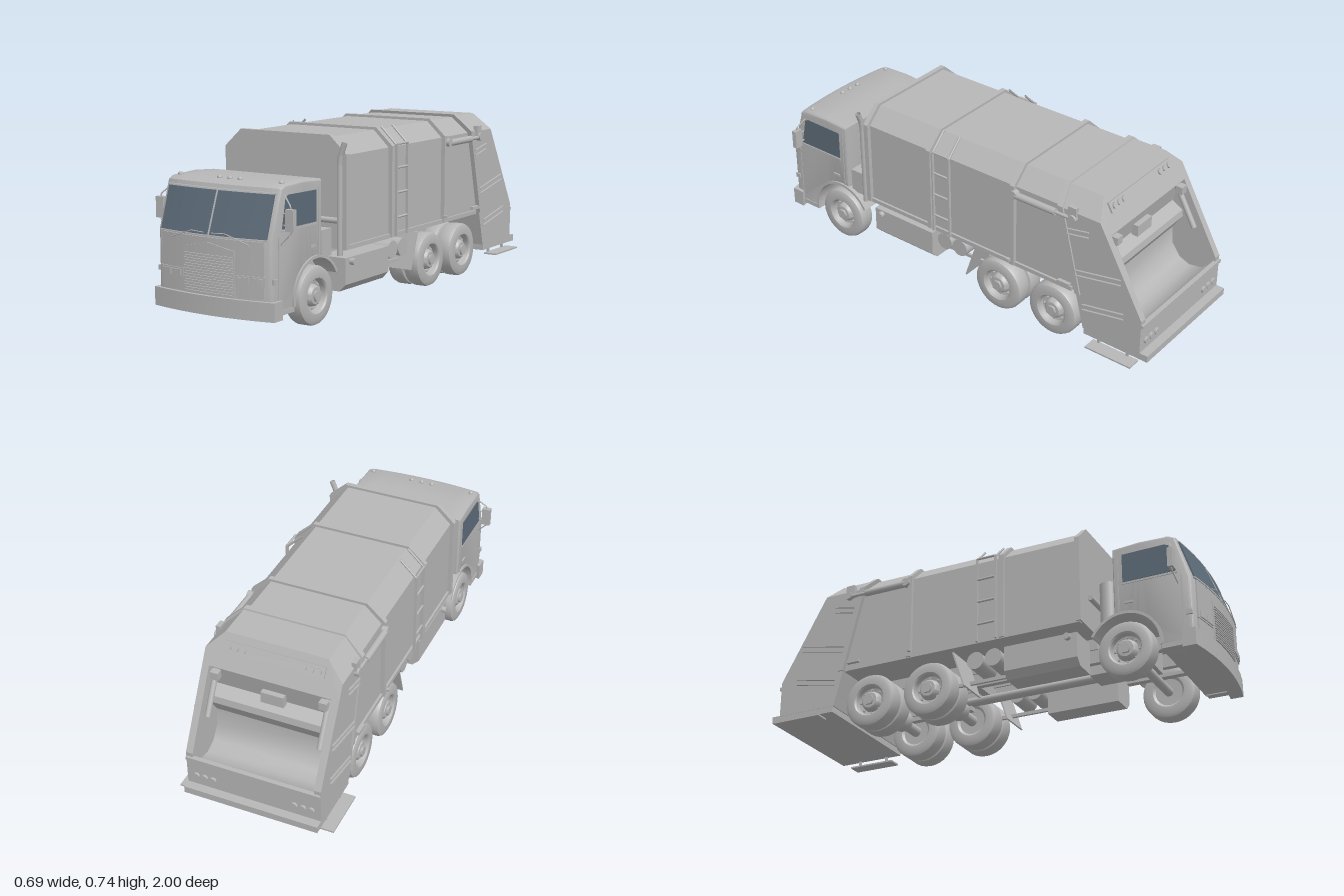
import * as THREE from 'three';
import { toCreasedNormals } from 'three/addons/utils/BufferGeometryUtils.js';
import { ConvexGeometry } from 'three/addons/geometries/ConvexGeometry.js';

const paint = new THREE.MeshStandardMaterial({ color: 0xb6b6b6, side: THREE.DoubleSide });
paint.name = 'grey paint';
const glass = new THREE.MeshStandardMaterial({ color: 0x5c6b78, side: THREE.DoubleSide });
glass.name = 'tinted glass';

export function createModel() {
  const truck = new THREE.Group();
  truck.name = 'garbageTruck';

  function add(name, geo, x = 0, y = 0, z = 0, mat = paint, parent = truck) {
    const m = new THREE.Mesh(geo, mat);
    m.name = name;
    m.position.set(x, y, z);
    parent.add(m);
    return m;
  }
  const box = (name, x, y, z, w, h, d, mat, parent) => add(name, new THREE.BoxGeometry(w, h, d), x, y, z, mat, parent);
  // Cylinder along a chosen axis
  function rod(name, axis, x, y, z, r, len, parent, sides = 20) {
    const g = new THREE.CylinderGeometry(r, r, len, sides);
    if (axis === 'x') g.rotateZ(Math.PI / 2);
    if (axis === 'z') g.rotateX(Math.PI / 2);
    return add(name, g, x, y, z, paint, parent);
  }
  const tube = (name, pts, r) => {
    const path = new THREE.CurvePath();
    const v = pts.map(p => new THREE.Vector3(...p));
    for (let i = 1; i < v.length; i++) path.add(new THREE.LineCurve3(v[i - 1], v[i]));
    return add(name, new THREE.TubeGeometry(path, 24, r, 8, false));
  };
  const both = fn => [1, -1].forEach(fn);
  const outline = pts => new THREE.Shape(pts.map(p => new THREE.Vector2(...p)));
  // Side outline in (z, y), extruded across the truck
  function across(shape, cx, width, bevel = 0, steps = 1) {
    const g = new THREE.ExtrudeGeometry(shape, {
      depth: width - 2 * bevel, steps, curveSegments: 20, bevelEnabled: bevel > 0,
      bevelSize: bevel, bevelThickness: bevel, bevelOffset: -bevel, bevelSegments: 3
    });
    g.translate(0, 0, -(width - 2 * bevel) / 2);
    g.rotateY(-Math.PI / 2);
    return g.translate(cx, 0, 0);
  }
  function reshape(g, rule) {
    const p = g.attributes.position, v = new THREE.Vector3();
    for (let i = 0; i < p.count; i++) {
      rule(v.fromBufferAttribute(p, i));
      p.setXYZ(i, v.x, v.y, v.z);
    }
    g.computeVertexNormals();
    return g;
  }
  // The cab front bows back towards its corners
  const bow = v => { v.z -= 0.03 * (v.x / 0.275) ** 2 * THREE.MathUtils.clamp((v.z - 0.8) / 0.18, 0, 1); };
  const frontZ = y => (y < 0.385 ? 0.985 : 0.985 - (y - 0.385) * 0.37);
  function frontBox(name, x, y, w, h, d, lift, mat, peak = 0) {
    const g = new THREE.BoxGeometry(w, h, d, 8, 1, 1).translate(x, y, 0);
    return add(name, reshape(g, v => {
      v.z += frontZ(v.y) + lift;
      if (peak && v.y > y) v.y += peak * (1 - Math.abs(v.x) / (w / 2));
      bow(v);
    }), 0, 0, 0, mat);
  }

  // Cab shell with wheel arch
  const cab = outline([[0.62, 0.3], [0.62, 0.583], [0.74, 0.592], [0.88, 0.588], [0.912, 0.575],
    [0.985, 0.385], [0.985, 0.095], [0.815, 0.095]]);
  cab.absarc(0.665, 0.125, 0.152, 0, 1.85, false);
  add('cab', toCreasedNormals(reshape(across(cab, 0, 0.552, 0.014, 8), bow), 0.5));

  // Windscreen, front panel, grille, lamps, bumper
  both(s => frontBox('windscreen', s * 0.129, 0.47, 0.252, 0.165, 0.008, 0.002, glass));
  frontBox('windscreenDivider', 0, 0.47, 0.006, 0.17, 0.012, 0.003);
  [0.383, 0.557].forEach(y => frontBox('windscreenSeal', 0, y, 0.52, 0.006, 0.012, 0.002));
  frontBox('frontPanel', 0, 0.268, 0.49, 0.22, 0.008, 0.002);
  frontBox('grilleSurround', 0, 0.245, 0.245, 0.18, 0.012, 0.004, paint, 0.025);
  for (let i = 0; i < 15; i++) frontBox('grilleSlat', 0, 0.163 + i * 0.0105, 0.235, 0.005, 0.008, 0.012);
  frontBox('bumper', 0, 0.113, 0.582, 0.075, 0.065, -0.0175);
  both(s => {
    frontBox('headlampFrame', s * 0.19, 0.226, 0.122, 0.038, 0.008, 0.006);
    [0.162, 0.218].forEach(x => frontBox('headlamp', s * x, 0.226, 0.048, 0.026, 0.008, 0.011));
    frontBox('fogLamp', s * 0.142, 0.11, 0.034, 0.038, 0.004, 0.013);
    box('cornerLamp', s * 0.272, 0.226, 0.94, 0.02, 0.02, 0.025);
    const wiper = tube('wiper', [[s * 0.19, 0.363, 0.98], [s * 0.08, 0.4, 0.99], [s * 0.02, 0.397, 0.992]], 0.002);
    wiper.position.z = 0.004;
  });
  [0, 0.05, -0.05, 0.245, -0.245].forEach(x =>
    add('roofLamp', new THREE.SphereGeometry(0.011, 12, 8), x, 0.59, 0.85));

  // Cab sides: windows, door, mirrors, fenders, steps
  both(s => {
    add('sideWindow', across(outline([[0.665, 0.42], [0.665, 0.545], [0.85, 0.548], [0.868, 0.54], [0.893, 0.42]]),
      s * 0.276, 0.006), 0, 0, 0, glass);
    box('doorRearSeam', s * 0.276, 0.42, 0.645, 0.005, 0.27, 0.005);
    box('doorFrontSeam', s * 0.276, 0.27, 0.915, 0.005, 0.25, 0.005);
    box('windowSill', s * 0.276, 0.412, 0.78, 0.006, 0.006, 0.24);
    box('doorHandle', s * 0.278, 0.325, 0.69, 0.008, 0.01, 0.035);
    add('mirror', new THREE.BoxGeometry(0.038, 0.085, 0.022), s * 0.315, 0.457, 0.89);
    tube('mirrorArm', [[s * 0.272, 0.55, 0.87], [s * 0.315, 0.51, 0.89], [s * 0.318, 0.41, 0.89], [s * 0.272, 0.36, 0.9]], 0.003);
    [0.435, 0.48].forEach(y => rod('mirrorBracket', 'x', s * 0.295, y, 0.885, 0.003, 0.05));
    const fender = new THREE.Shape();
    fender.absarc(0.665, 0.125, 0.162, -0.1, 2.65, false);
    fender.absarc(0.665, 0.125, 0.15, 2.65, -0.1, true);
    add('frontFender', toCreasedNormals(across(fender, s * 0.237, 0.092), 0.5));
    box('cabStep', s * 0.262, 0.1, 0.88, 0.035, 0.02, 0.12);
  });

  // Equipment between cab and body
  box('airBox', 0.085, 0.36, 0.56, 0.17, 0.22, 0.08);
  box('batteryBox', 0.215, 0.32, 0.575, 0.1, 0.11, 0.07);
  rod('muffler', 'x', -0.09, 0.42, 0.56, 0.04, 0.18);
  rod('airIntake', 'y', -0.17, 0.36, 0.56, 0.037, 0.24);
  rod('exhaustCross', 'x', 0.02, 0.4, 0.508, 0.012, 0.53);
  tube('exhaustStack', [[0.285, 0.26, 0.51], [0.285, 0.63, 0.51], [0.29, 0.665, 0.51], [0.308, 0.712, 0.51]], 0.012);

  // Body section with chamfered roof; the rear edge leans back
  const lean = v => { v.z -= 0.25 * (0.735 - v.y); };
  function section(o, z, depth, rule) {
    const pts = [[0.283 + o, 0.28], [0.283 + o, 0.658 + o * 0.4], [0.21 + o * 0.6, 0.728 + o * 0.6]];
    const all = pts.concat(pts.slice().reverse().map(([x, y]) => [-x, y]));
    const g = new THREE.ExtrudeGeometry(outline(all), { depth, bevelEnabled: false }).translate(0, 0, z);
    return rule ? reshape(g, rule) : g;
  }
  add('body', section(0, -0.53, 1.01, v => { if (v.z < 0) lean(v); }));
  [0.475, 0.125, -0.32].forEach(z => add('bodyRib', section(0.018, z - 0.01, 0.022)));
  add('tailgateFrame', section(0.02, -0.555, 0.025, lean));
  both(s => box('bodySill', s * 0.283, 0.285, -0.07, 0.02, 0.018, 1.1));

  // Ladders, lift cylinders and hooks
  both(s => {
    [0.012, 0.1].forEach(z => {
      box('ladderRail', s * 0.3, 0.475, z, 0.012, 0.39, 0.008);
      tube('ladderTopRail', [[s * 0.3, 0.665, z], [s * 0.225, 0.738, z]], 0.005);
    });
    [0.36, 0.465, 0.57, 0.67].forEach(y => rod('ladderRung', 'z', s * 0.3, y, 0.056, 0.005, 0.088));
    rod('liftCylinder', 'z', s * 0.303, 0.632, -0.44, 0.015, 0.2);
    rod('liftRod', 'z', s * 0.303, 0.632, -0.57, 0.008, 0.12);
    [-0.335, -0.625].forEach(z => rod('liftPivot', 'x', s * 0.303, 0.635, z, 0.018, 0.026));
    box('liftBracket', s * 0.296, 0.655, -0.62, 0.02, 0.06, 0.04);
    box('latch', s * 0.303, 0.31, -0.59, 0.016, 0.014, 0.06);
    box('bodyHook', s * 0.305, 0.305, -0.31, 0.02, 0.012, 0.012);
  });

  // Tailgate: hood, side walls and hopper
  const hood = [];
  both(s => hood.push([s * 0.296, 0.6, -0.565], [s * 0.296, 0.6, -0.783], [s * 0.296, 0.66, -0.55],
    [s * 0.296, 0.66, -0.749], [s * 0.222, 0.733, -0.53], [s * 0.222, 0.733, -0.71]));
  add('tailgateHood', new ConvexGeometry(hood.map(p => new THREE.Vector3(...p))));
  both(s => {
    add('tailgateSide', across(outline([[-0.565, 0.6], [-0.783, 0.6], [-0.962, 0.28], [-0.962, 0.122], [-0.685, 0.122]]),
      s * 0.281, 0.03));
    [[0.56, -0.645, 0.11], [0.39, -0.75, 0.22], [0.235, -0.78, 0.2]].forEach(([y, z, len]) => {
      [0, 0.025].forEach(dy => {
        box('sideGusset', s * 0.3, y + dy, z, 0.01, 0.004, len).rotation.x = 0.2;
      });
    });
    rod('packerCylinder', 'y', s * 0.245, 0.49, -0.81, 0.012, 0.2).rotation.x = 0.51;
    box('packerBracket', s * 0.235, 0.57, -0.79, 0.035, 0.035, 0.03);
    box('sideStep', s * 0.312, 0.073, -0.84, 0.062, 0.007, 0.22);
    [-0.76, -0.9].forEach(z => box('stepHanger', s * 0.285, 0.087, z, 0.01, 0.03, 0.01));
  });
  add('hopper', toCreasedNormals(across(outline([[-0.765, 0.6], [-0.735, 0.48], [-0.785, 0.45], [-0.79, 0.42],
    [-0.745, 0.35], [-0.75, 0.27], [-0.79, 0.215], [-0.84, 0.195], [-0.9, 0.205], [-0.955, 0.255],
    [-0.962, 0.255], [-0.962, 0.122], [-0.685, 0.122], [-0.645, 0.28], [-0.565, 0.6]]), 0, 0.535), 0.6));
  box('packerRam', 0, 0.5, -0.755, 0.1, 0.05, 0.03);
  box('rearSill', 0, 0.255, -0.962, 0.59, 0.014, 0.02);
  box('rearPlatform', 0, 0.11, -0.845, 0.59, 0.03, 0.31);

  // Rear lamps
  const lampBar = new THREE.Group();
  lampBar.name = 'rearLampBar';
  lampBar.position.set(0, 0.685, -0.737);
  lampBar.rotation.x = 0.512;
  truck.add(lampBar);
  box('lampBarPlate', 0, 0, 0, 0.44, 0.045, 0.016, paint, lampBar);
  both(s => [0, 1, 2].forEach(i => {
    rod('upperRearLamp', 'z', s * (0.13 + i * 0.032), 0, -0.01, 0.013, 0.012, lampBar);
    rod('lowerRearLamp', 'z', s * (0.18 + i * 0.037), 0.17, -0.964, 0.015, 0.016);
  }));

  // Chassis frame, tanks and running gear
  both(s => {
    box('chassisRail', s * 0.085, 0.205, 0.12, 0.025, 0.06, 1.6);
    box('lowerRail', s * 0.2, 0.142, -0.02, 0.012, 0.015, 0.3);
    add('fuelTank', new THREE.ExtrudeGeometry(outline([[0.15, 0.24], [0.28, 0.24], [0.28, 0.13], [0.25, 0.1], [0.15, 0.1]]
      .map(([x, y]) => [s * x, y])), { depth: 0.33, bevelEnabled: false }), 0, 0, 0.13);
    rod('fuelCap', 'x', s * 0.285, 0.222, 0.42, 0.014, 0.03);
    [0.072, -0.012].forEach(z => rod('airTank', 'x', s * 0.2, 0.213, z, 0.039, 0.13));
    box('mudFlap', s * 0.205, 0.185, -0.085, 0.15, 0.17, 0.006).rotation.x = -0.32;
    box('bodySupport', s * 0.085, 0.257, -0.05, 0.04, 0.05, 1.05);
    box('leafSpring', s * 0.085, 0.16, -0.372, 0.03, 0.02, 0.34);
    box('frontSpring', s * 0.13, 0.16, 0.665, 0.03, 0.015, 0.3);
  });
  [0.8, 0.5, 0.2, -0.1, -0.37, -0.65].forEach(z => box('crossMember', 0, 0.2, z, 0.17, 0.045, 0.035));
  box('gearbox', 0, 0.2, 0.56, 0.12, 0.12, 0.28);
  rod('driveShaft', 'z', 0, 0.155, 0.05, 0.015, 0.75);

  // Wheels, with doubled rear pairs
  const profile = [[0.0, -0.03], [0.06, -0.032], [0.07, -0.04], [0.1, -0.041], [0.115, -0.034], [0.12, -0.022],
    [0.12, 0.022], [0.115, 0.034], [0.1, 0.041], [0.072, 0.04], [0.066, 0.034], [0.062, 0.012], [0.046, 0.008],
    [0.042, 0.026], [0.034, 0.034], [0.0, 0.036]].map(p => new THREE.Vector2(...p));
  const wheelGeo = toCreasedNormals(new THREE.LatheGeometry(profile, 32), 0.6);
  const wheel = (name, s, x, z) => { add(name, wheelGeo, s * x, 0.124, z).rotation.z = -s * Math.PI / 2; };
  const nuts = (s, z) => {
    for (let i = 0; i < 8; i++) {
      const a = i * Math.PI / 4;
      rod('wheelNut', 'x', s * 0.256, 0.124 + 0.053 * Math.sin(a), z + 0.053 * Math.cos(a), 0.005, 0.012, truck, 6);
    }
    rod('hubCap', 'x', s * 0.282, 0.124, z, 0.024, 0.012, truck, 6);
  };
  both(s => {
    wheel('frontWheel', s, 0.243, 0.667);
    nuts(s, 0.667);
    [-0.23, -0.515].forEach(z => {
      wheel('rearOuterWheel', s, 0.243, z);
      wheel('rearInnerWheel', s, 0.163, z);
      nuts(s, z);
    });
  });
  rod('frontAxle', 'x', 0, 0.124, 0.667, 0.02, 0.44);
  [-0.23, -0.515].forEach(z => {
    rod('rearAxle', 'x', 0, 0.124, z, 0.024, 0.4);
    add('differential', new THREE.SphereGeometry(0.05, 16, 12), 0, 0.13, z);
  });

  return truck;
}
